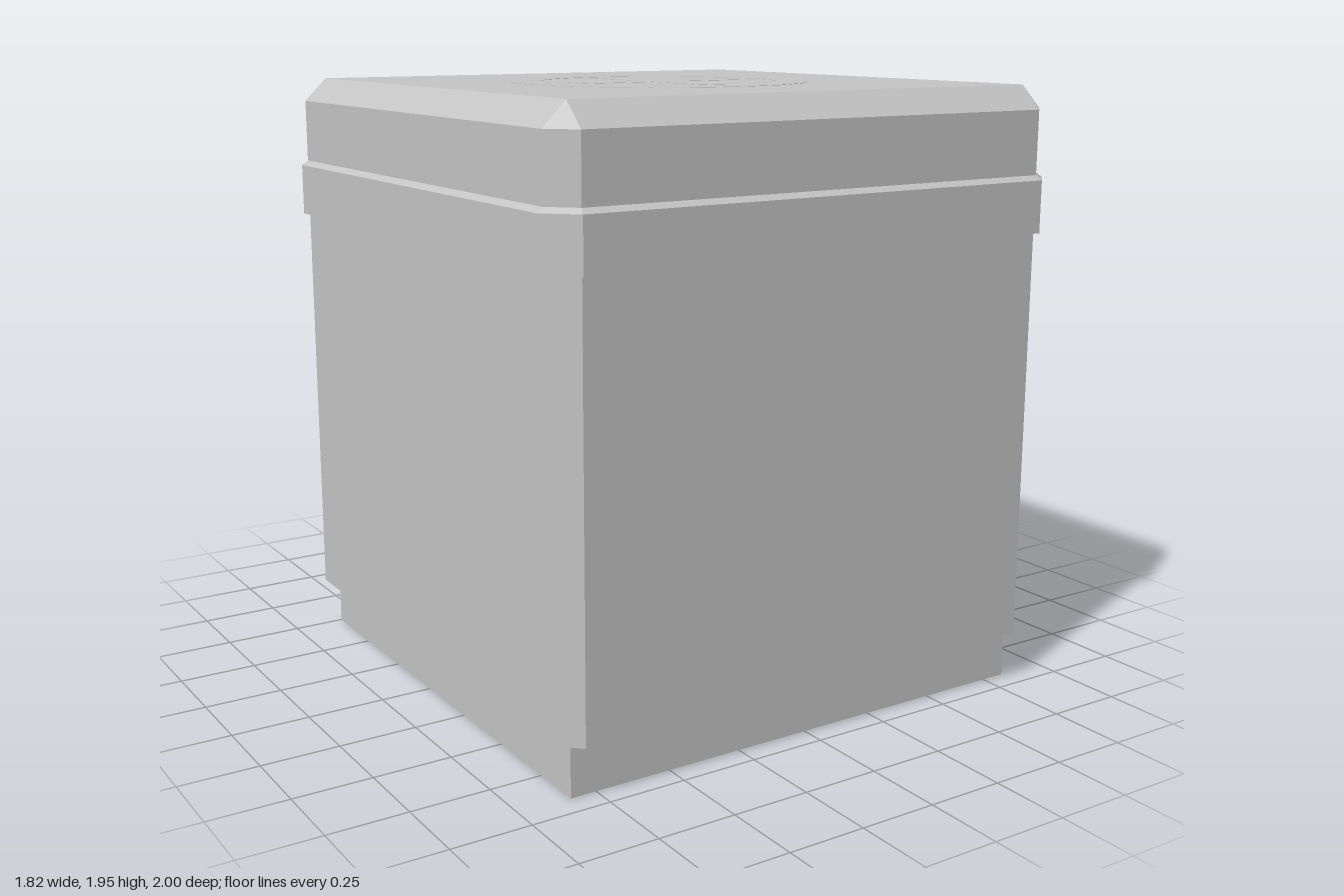
import * as THREE from 'three';

const grey = new THREE.MeshStandardMaterial({ color: 0xc4c4c4, side: THREE.DoubleSide });
grey.name = 'plain grey';

// Eight-point rectangle outline with cut corners
function ring([w, d, c, y]) {
  return [[c - w, d], [w - c, d], [w, d - c], [w, c - d], [w - c, -d], [c - w, -d], [-w, c - d], [-w, d - c]]
    .map(([x, z]) => new THREE.Vector3(x, y, z));
}

// Flat-faced loft through sections [halfWidth, halfDepth, cornerCut, height]
function loft(sections, capBottom, capTop) {
  const rings = sections.map(ring), pos = [];
  const tri = (a, b, c) => {
    if (new THREE.Triangle(a, b, c).getArea() > 1e-7) for (const p of [a, b, c]) pos.push(p.x, p.y, p.z);
  };
  for (let k = 0; k < rings.length - 1; k++) {
    const a = rings[k], b = rings[k + 1];
    for (let i = 0; i < 8; i++) {
      const j = (i + 1) % 8;
      tri(a[i], a[j], b[j]);
      tri(a[i], b[j], b[i]);
    }
  }
  const first = rings[0], last = rings[rings.length - 1];
  for (let i = 1; i < 7; i++) {
    if (capBottom) tri(first[0], first[i + 1], first[i]);
    if (capTop) tri(last[0], last[i], last[i + 1]);
  }
  const g = new THREE.BufferGeometry();
  g.setAttribute('position', new THREE.Float32BufferAttribute(pos, 3));
  g.computeVertexNormals();
  return g;
}

// Box with every edge bevelled, standing on y = 0
function bevelBox(w, d, h, b) {
  return loft([[w - b, d - b, 0, 0], [w, d, b, b], [w, d, b, h - b], [w - b, d - b, 0, h]], true, true);
}

export function createModel() {
  const model = new THREE.Group();
  model.name = 'box';
  const add = (name, geometry, x, y, z, parent = model) => {
    const m = new THREE.Mesh(geometry, grey);
    m.name = name;
    m.position.set(x, y, z);
    parent.add(m);
    return m;
  };
  const cz = 0.089;

  // Hollow body, open underneath, with bevelled top
  add('body', loft([
    [0.833, 0.833, 0, 0.17], [0.893, 0.893, 0.075, 0.17],
    [0.893, 0.893, 0.075, 1.876], [0.818, 0.818, 0, 1.95],
  ], false, true), 0, 0, cz);
  add('base', loft([[0.833, 0.833, 0, 0], [0.833, 0.833, 0, 0.17]]), 0, 0, cz);
  add('belt', loft([
    [0.893, 0.893, 0.075, 1.495], [0.912, 0.912, 0.087, 1.495],
    [0.912, 0.912, 0.087, 1.66], [0.893, 0.893, 0.075, 1.675],
  ]), 0, 0, cz);

  // Ring and cross set flat on the top
  const flat = { depth: 0.002, bevelEnabled: false };
  const circle = (r) => Array.from({ length: 20 }, (_, i) =>
    new THREE.Vector2(r * Math.cos(i * Math.PI / 10), r * Math.sin(i * Math.PI / 10)));
  const ringShape = new THREE.Shape(circle(0.485));
  ringShape.holes.push(new THREE.Path(circle(0.388)));
  const a = 0.05, b = 0.312;
  const crossShape = new THREE.Shape([
    [a, a], [a, b], [-a, b], [-a, a], [-b, a], [-b, -a],
    [-a, -a], [-a, -b], [a, -b], [a, -a], [b, -a], [b, a],
  ].map(([x, y]) => new THREE.Vector2(x, y)));
  for (const [name, shape] of [['topRing', ringShape], ['topCross', crossShape]]) {
    add(name, new THREE.ExtrudeGeometry(shape, flat).rotateX(-Math.PI / 2), 0, 1.949, cz - 0.002);
  }

  // Hatch on the back with its door and two hinges
  const hatch = new THREE.Group();
  hatch.name = 'hatch';
  model.add(hatch);
  add('hatchFrame', bevelBox(0.38, 0.3, 0.17, 0.057).rotateX(-Math.PI / 2), 0.06, 1.1, -0.804, hatch);
  add('hatchDoor', new THREE.BoxGeometry(0.555, 0.41, 0.02), 0.1, 1.115, -0.98, hatch);
  for (const y of [1.22, 1.028]) {
    add('hatchHinge', new THREE.BoxGeometry(0.08, 0.072, 0.03), -0.215, y, -0.985, hatch);
  }

  // Sloping shelf below the hatch, with pad and brackets
  const shelf = new THREE.Group();
  shelf.name = 'shelf';
  shelf.position.set(0, 0.663, -0.896);
  shelf.rotation.x = -0.28;
  model.add(shelf);
  add('shelfBoard', bevelBox(0.665, 0.09, 0.06, 0.016), 0, -0.03, 0, shelf);
  add('shelfPad', new THREE.BoxGeometry(1.035, 0.045, 0.125), 0, 0.048, 0, shelf);
  for (const side of [-1, 1]) {
    add('shelfBracket', new THREE.BoxGeometry(0.08, 0.215, 0.137), side * 0.55, 0.525, -0.872);
  }
  return model;
}
